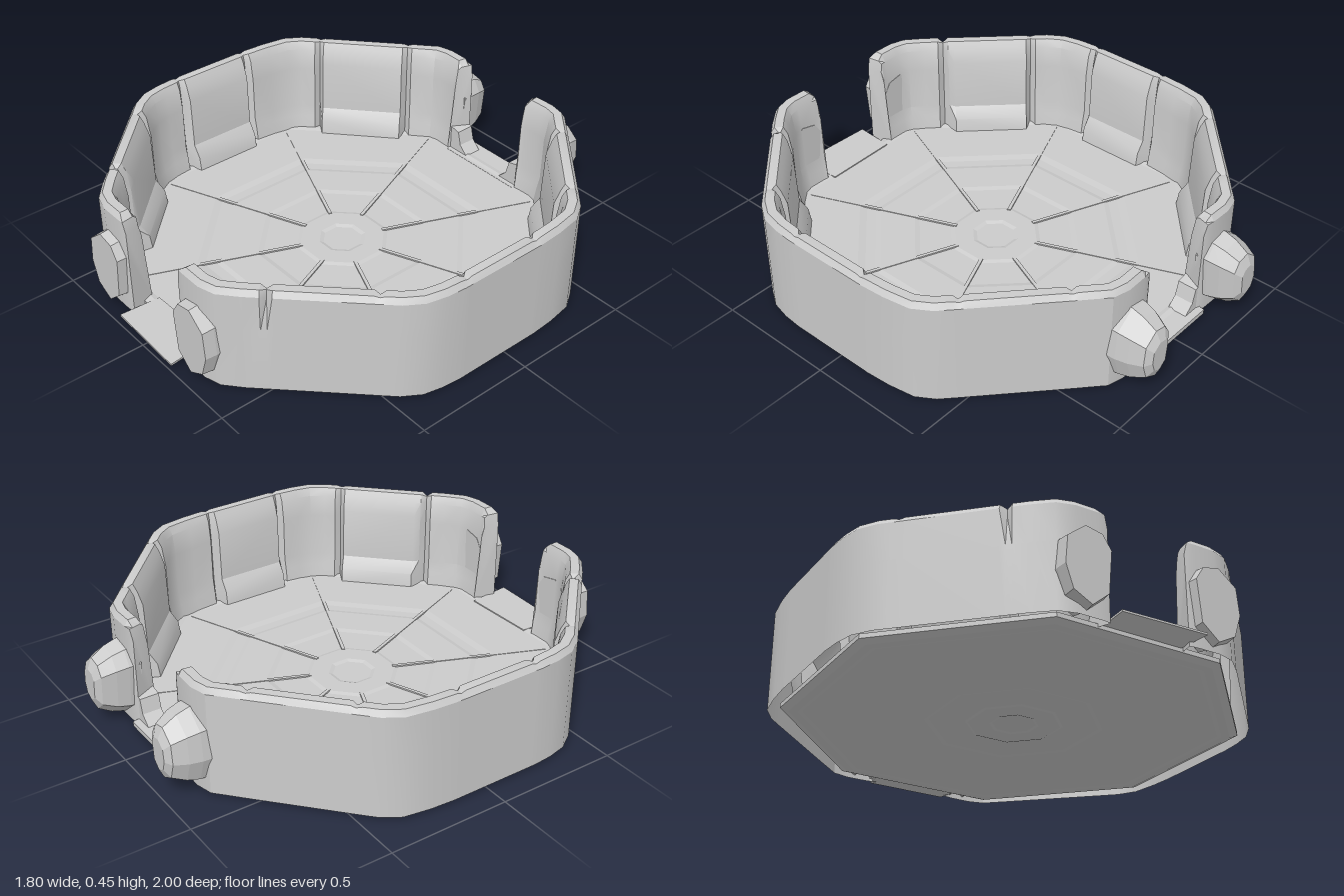
import * as THREE from 'three';
import { toCreasedNormals } from 'three/addons/utils/BufferGeometryUtils.js';
import { ConvexGeometry } from 'three/addons/geometries/ConvexGeometry.js';

const grey = new THREE.MeshStandardMaterial({ color: 0xcccccc, side: THREE.DoubleSide });
const flat = new THREE.MeshStandardMaterial({ color: 0xcccccc, flatShading: true });

// Wall cross-sections as [inset from outer face, height], outer foot to inner foot
const sections = {
  corner: [[0, .01], [0, .28], [0, .43], [.015, .453], [.05, .453], [.066, .42], [.078, .33], [.08, .14], [.09, .09], [.1, .02]],
  panel: [[0, .01], [0, .28], [0, .43], [.015, .453], [.05, .453], [.066, .42], [.085, .36], [.092, .14], [.125, .09], [.135, .02]],
  groove: [[0, .01], [0, .28], [0, .43], [.015, .447], [.035, .447], [.042, .42], [.05, .33], [.055, .14], [.06, .09], [.07, .02]],
  notch: [[0, .01], [0, .28], [.028, .41], [.032, .442], [.04, .442], [.042, .42], [.05, .33], [.055, .14], [.06, .09], [.07, .02]],
};

// Half of the wall plan, from the back gate round to the front gate
const stations = [
  [.168, -.85, 'corner', .38], [.18, -.855, 'corner', .43], [.21, -.86, 'corner'], [.3, -.862, 'corner'],
  [.37, -.845, 'corner'], [.42, -.8, 'corner'],
  [.46, -.765, 'corner'], [.475, -.751, 'groove'], [.49, -.738, 'panel'], [.75, -.503, 'panel'],
  [.765, -.49, 'groove'], [.78, -.476, 'corner'], [.83, -.43, 'corner'], [.875, -.36, 'corner'],
  [.893, -.25, 'corner'], [.9, -.15, 'corner'], [.9, -.13, 'groove'], [.9, -.11, 'panel'],
  [.9, .19, 'panel'], [.9, .21, 'groove'], [.9, .23, 'corner'], [.893, .31, 'corner'], [.875, .39, 'corner'],
  [.83, .46, 'corner'], [.79, .5, 'corner'], [.775, .515, 'groove'], [.76, .53, 'panel'],
  [.535, .755, 'panel'], [.516, .774, 'corner'], [.5, .79, 'notch'], [.484, .806, 'corner'],
  [.44, .85, 'corner'], [.37, .91, 'corner'], [.3, .93, 'corner'], [.21, .93, 'corner'],
  [.18, .928, 'corner', .43], [.168, .925, 'corner', .38],
];

function wallHalf(side) {
  const pos = [], index = [], n = sections.corner.length, last = stations.length - 1;
  stations.forEach(([x, z, type, top = 1], i) => {
    const a = stations[Math.max(i - 1, 0)], b = stations[Math.min(i + 1, last)];
    // inward mitre direction from the two neighbouring segments
    const dirs = [[a, stations[i]], [stations[i], b]].filter(([p, q]) => p !== q)
      .map(([p, q]) => new THREE.Vector2(q[0] - p[0], q[1] - p[1]).normalize());
    const d = dirs[0].clone().add(dirs[dirs.length - 1]).normalize();
    const mitre = 1 / d.dot(dirs[0]);
    for (const [inset, y] of sections[type]) {
      pos.push(side * (x - d.y * inset * mitre), Math.min(y, top), z + d.x * inset * mitre);
    }
  });
  const tri = (a, b, c) => side > 0 ? index.push(a, b, c) : index.push(a, c, b);
  for (let i = 0; i < last; i++) for (let j = 0; j < n - 1; j++) {
    const a = i * n + j, b = a + n;
    tri(a, a + 1, b);
    tri(b, a + 1, b + 1);
  }
  // gate end caps
  for (let j = 0; j < n - 2; j++) {
    tri(n - 1, j + 1, j);
    tri(last * n + n - 1, last * n + j, last * n + j + 1);
  }
  const geo = new THREE.BufferGeometry();
  geo.setAttribute('position', new THREE.Float32BufferAttribute(pos, 3));
  geo.setIndex(index);
  return toCreasedNormals(geo, .45);
}

// Faceted stone: an uneven octagon repeated in layers of [z, scale]
const outline = [[-.01, -.15], [.065, -.11], [.095, -.02], [.085, .09], [.01, .15], [-.06, .135], [-.095, .08], [-.08, -.09]];
function stone(side, layers) {
  const points = [];
  for (const [z, k] of layers) for (const [x, y] of outline) {
    points.push(new THREE.Vector3(side * (.278 + x * k), .185 + y * k, z));
  }
  return new ConvexGeometry(points);
}

// Thin slab from a plan outline of [x, z]
function slab(plan, height) {
  const shape = new THREE.Shape(plan.map(([x, z]) => new THREE.Vector2(x, -z)));
  return new THREE.ExtrudeGeometry(shape, { depth: height, bevelEnabled: false }).rotateX(-Math.PI / 2);
}

export function createModel() {
  const model = new THREE.Group();
  const add = (name, geo, mat = grey, parent = model) => {
    const mesh = new THREE.Mesh(geo, mat);
    mesh.name = name;
    parent.add(mesh);
    return mesh;
  };

  // Octagonal floor with shallow concentric steps above and below
  const profile = [
    [0, .004], [.08, .004], [.09, 0], [.17, 0], [.18, .004], [.31, .004], [.33, 0], [.52, 0], [.55, .004],
    [.76, .004], [.78, 0], [.81, 0], [.84, .012], [.84, .03], [.81, .036], [.79, .031], [.56, .031], [.53, .025],
    [.49, .025], [.47, .03], [.33, .03], [.31, .025], [.18, .025], [.165, .03], [.09, .03], [.075, .024], [0, .024],
  ].map(([r, y]) => new THREE.Vector2(r / Math.cos(Math.PI / 8), y));
  const floor = new THREE.LatheGeometry(profile, 8, Math.PI / 8);
  add('floor', toCreasedNormals(floor, .1)).position.z = .03;

  // Raised seams running out from the centre
  const seams = new THREE.Group();
  seams.name = 'floorSeams';
  model.add(seams);
  for (let i = 0; i < 8; i++) {
    const seam = new THREE.BoxGeometry(.014, .006, .66).translate(0, .03, .5);
    seam.rotateY(Math.PI / 8 + i * Math.PI / 4).translate(0, 0, .03);
    add('floorSeam', seam, flat, seams);
  }

  // Gate sills
  add('frontRamp', slab([[-.165, .99], [.19, 1], [.17, .81], [-.155, .82]], .008), flat).position.y = .028;
  add('backSill', slab([[-.2, -.75], [.2, -.75], [.17, -.88], [-.18, -.88]], .02), flat).position.y = .012;

  for (const side of [1, -1]) {
    const label = side > 0 ? 'left' : 'right';
    add(label + 'Wall', wallHalf(side));
    add(label + 'FrontStone', stone(side, [[.85, .95], [.92, 1.04], [.967, 1]]), flat);
    add(label + 'BackStone', stone(side, [[-.82, 1.08], [-.87, 1.06], [-.92, .96], [-.975, .74], [-.995, .45]]), flat);

    // Sloping foot at the edge of the back gate
    const foot = new THREE.Shape([[.2, .02], [.2, .14], [.155, .13], [.14, .07], [.1, .032], [.1, .02]]
      .map(([x, y]) => new THREE.Vector2(side * x, y)));
    const geo = new THREE.ExtrudeGeometry(foot, { depth: .08, bevelEnabled: false }).translate(0, 0, -.85);
    add(label + 'GateFoot', geo, flat);
  }
  return model;
}
